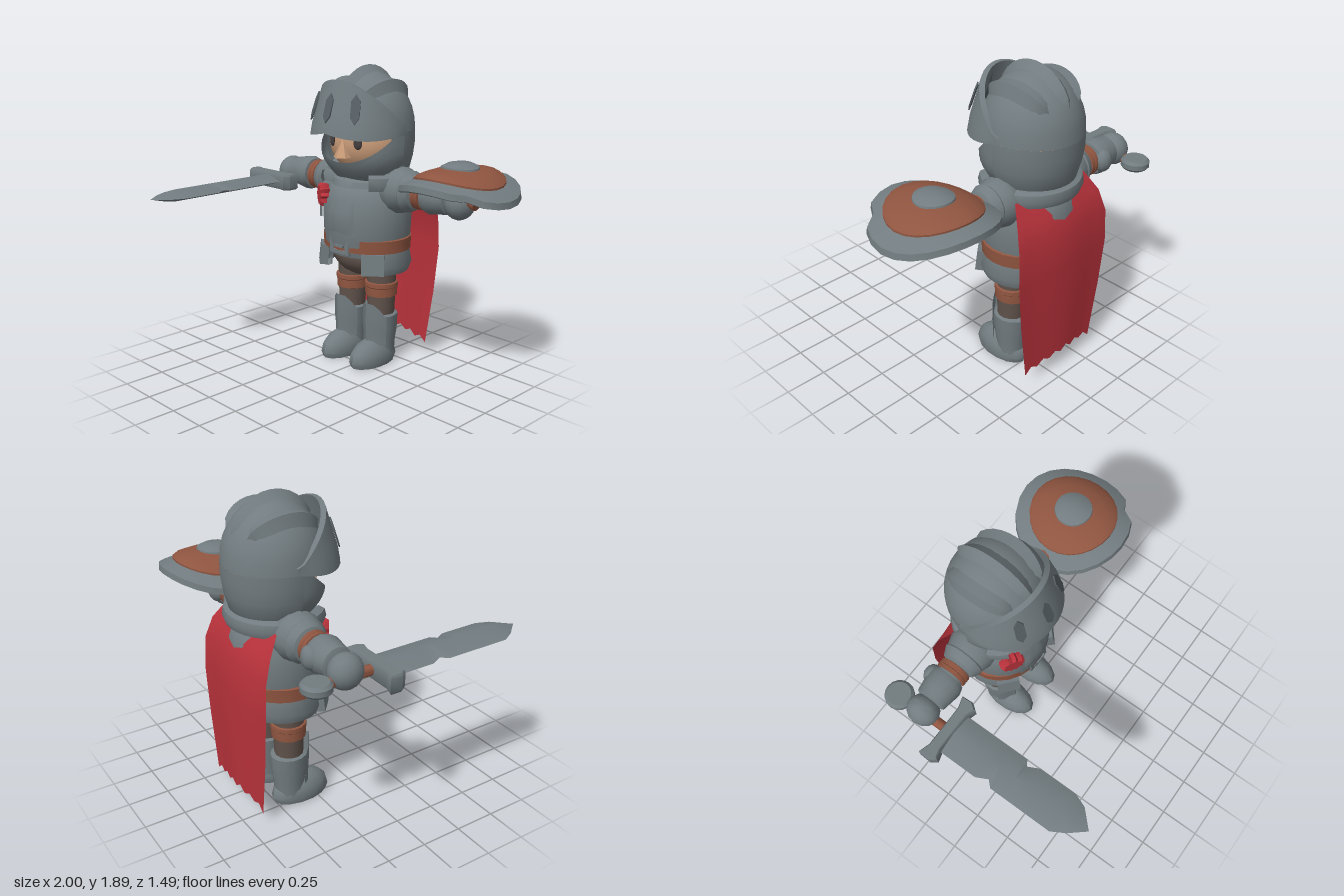
import * as THREE from 'three';
import { toCreasedNormals } from 'three/addons/utils/BufferGeometryUtils.js';

const material = (name, color, side = THREE.DoubleSide) => {
  const m = new THREE.MeshStandardMaterial({ color, side });
  m.name = name;
  return m;
};
const V = (x, y) => new THREE.Vector2(x, y);

// Grid surface: fn(u, v) returns [x, y, z]; faces outward when u x v points out
function surf(nu, nv, fn) {
  const g = new THREE.PlaneGeometry(1, 1, nu, nv);
  const p = g.attributes.position, uv = g.attributes.uv;
  for (let i = 0; i < p.count; i++) p.setXYZ(i, ...fn(uv.getX(i), uv.getY(i)));
  return g;
}
const lathe = (pts, seg = 24, start = 0, len = Math.PI * 2) =>
  new THREE.LatheGeometry(pts.map(([r, y]) => V(r, y)), seg, start, len);
const ball = (x, y, z, seg = 16) => new THREE.SphereGeometry(1, seg, 12).scale(x, y, z);
const box = (x, y, z) => new THREE.BoxGeometry(x, y, z);

export function createModel() {
  const steel = material('steel', 0x727c80);
  const darkSteel = material('dark steel', 0x565f64);
  const leather = material('leather', 0x8f5540);
  const cloth = material('dark cloth', 0x60524b);
  const skin = material('skin', 0xc99b78);
  const red = material('red cloth', 0xb8323b);
  const dark = material('eye', 0x453e3f);
  const hair = material('eyebrow', 0x7a5a48);

  const model = new THREE.Group();
  const body = new THREE.Group();
  body.name = 'knight';
  body.position.set(-0.075, 0, -0.4);
  model.add(body);
  const add = (name, geo, mat, x = 0, y = 0, z = 0, ry = 0, rx = 0) => {
    const m = new THREE.Mesh(toCreasedNormals(geo, 0.7), mat);
    m.name = name;
    m.position.set(x, y, z);
    m.rotation.set(rx, ry, 0, 'YXZ');
    body.add(m);
    return m;
  };

  // Torso, belt and skirt plates
  add('cuirass', lathe([[0, 0.7], [0.26, 0.72], [0.283, 0.8], [0.29, 0.95], [0.28, 1.07],
    [0.24, 1.15], [0.16, 1.2], [0, 1.2]]).scale(1, 1, 0.93), steel);
  add('breastPlate', surf(8, 3, (u, v) => {
    const a = (u - 0.5) * 0.86, y = 0.88 + v * 0.2 - (1 - v) * Math.abs(a) * 0.05;
    const edge = u === 0 || u === 1 || v === 0 || v === 1;
    const r = 0.29 - Math.max(0, y - 0.95) * 0.09 + (edge ? -0.004 : 0.01) + (u === 0.5 ? 0.008 : 0);
    return [Math.sin(a) * r, y, Math.cos(a) * r * 0.93];
  }), steel);
  add('collar', lathe([[0.2, 1.14], [0.29, 1.15], [0.305, 1.19], [0.295, 1.23], [0.26, 1.245], [0.2, 1.22]],
    24, 0.75, Math.PI * 2 - 1.5).scale(1, 1, 0.95), steel);
  add('gorget', lathe([[0.24, 1.13], [0.22, 1.19], [0.17, 1.22]]).scale(1, 1, 0.95), steel);
  add('belt', lathe([[0.27, 0.75], [0.294, 0.755], [0.298, 0.835], [0.27, 0.845]]).scale(1, 1, 0.87), leather);
  add('skirtPlates', lathe([[0.25, 0.625], [0.285, 0.615], [0.305, 0.67], [0.285, 0.77], [0.24, 0.77], [0.25, 0.625]],
    20, 0.58, Math.PI * 2 - 1.16).scale(1, 1, 0.85), steel);
  for (const s of [-1, 1])
    add('skirtFlap', box(0.14, 0.13, 0.05), steel, s * 0.215, 0.69, 0.175, s * 0.72, -0.1);
  add('trousers', ball(0.24, 0.15, 0.2), cloth, 0, 0.705, 0);

  // Buckle with an open frame
  const frame = new THREE.Shape([V(-0.077, -0.055), V(0.077, -0.055), V(0.077, 0.055), V(-0.077, 0.055)]);
  frame.holes.push(new THREE.Path([V(-0.05, -0.03), V(-0.05, 0.03), V(0.05, 0.03), V(0.05, -0.03)]));
  add('buckle', new THREE.ExtrudeGeometry(frame, { depth: 0.025, bevelEnabled: true, bevelThickness: 0.006,
    bevelSize: 0.004, bevelSegments: 1 }), steel, 0, 0.79, 0.225);
  add('bucklePin', box(0.07, 0.016, 0.03), steel, 0.01, 0.79, 0.255);

  // Rosette with ribbon tails
  const star = new THREE.Shape(Array.from({ length: 20 }, (_, i) => {
    const r = i % 2 ? 0.05 : 0.066, a = i * Math.PI / 10;
    return V(Math.cos(a) * r, Math.sin(a) * r);
  }));
  add('rosette', new THREE.ExtrudeGeometry(star, { depth: 0.03, bevelEnabled: true, bevelThickness: 0.015,
    bevelSize: 0.006, bevelSegments: 1 }), red, -0.178, 1.08, 0.195, -0.55);
  for (const s of [-1, 1])
    add('rosetteRibbon', box(0.022, 0.1, 0.012), steel, -0.178 + s * 0.016, 0.99, 0.222, -0.55);

  // Legs and boots
  for (const s of [-1, 1]) {
    const x = s * 0.128;
    add('leg', new THREE.CylinderGeometry(0.098, 0.085, 0.4, 14), cloth, x, 0.49, 0);
    add('kneeStrap', lathe([[0.09, 0.445], [0.102, 0.45], [0.103, 0.505], [0.108, 0.51], [0.106, 0.535], [0.09, 0.54]], 14),
      leather, x);
    add('bootShaft', lathe([[0.085, 0.05], [0.09, 0.15], [0.1, 0.22], [0.103, 0.32], [0.085, 0.33], [0, 0.32]], 14)
      .scale(1, 1, 1.1), steel, x);
    add('foot', surf(14, 8, (u, v) => {
      const a = u * Math.PI * 2, b = (v - 0.5) * Math.PI;
      return [Math.sin(a) * Math.cos(b) * 0.102, Math.max(0, 0.035 + Math.sin(b) * 0.135),
        0.072 + Math.cos(a) * Math.cos(b) * 0.19];
    }), steel, x);
    add('shinGuard', surf(6, 4, (u, v) => {
      const a = (u - 0.5) * 2.2, k = Math.abs(u - 0.5) * 2;
      const r = 0.112 + (u === 0.5 ? 0.018 : 0) - (v < 0.3 ? 0.006 : 0);
      return [Math.sin(a) * r, 0.13 + v * (0.285 - 0.1 * k * k), Math.cos(a) * r * 1.08];
    }), steel, x);
  }

  // Arms, held straight out sideways
  for (const s of [-1, 1]) {
    const limb = (name, pts, mat) =>
      add(name, lathe(pts, 16).rotateZ(-s * Math.PI / 2), mat, 0, 1.145, -0.01);
    limb('pauldron', [[0.1, 0.17], [0.14, 0.22], [0.145, 0.28], [0.125, 0.34], [0.13, 0.35], [0.105, 0.4], [0.08, 0.41]], steel);
    limb('upperArm', [[0.082, 0.36], [0.082, 0.52]], steel);
    limb('armStrap', [[0.08, 0.415], [0.096, 0.42], [0.096, 0.445], [0.09, 0.448], [0.096, 0.452], [0.096, 0.472], [0.08, 0.475]],
      leather);
    limb('gauntlet', [[0.07, 0.485], [0.1, 0.49], [0.112, 0.53], [0.1, 0.6], [0.092, 0.65], [0.07, 0.66], [0, 0.66]], steel);
    add('elbowGuard', ball(0.06, 0.07, 0.05, 10), steel, s * 0.525, 1.15, -0.095);
    add('hand', ball(0.088, 0.1, 0.1, 14), steel, s * 0.72, 1.135, -0.01);
  }

  // Sword pointing forward in the right hand
  const sx = -0.725, sy = 1.1;
  add('swordGrip', new THREE.CylinderGeometry(0.03, 0.03, 0.4, 10).rotateX(Math.PI / 2), leather, sx, sy, 0);
  add('pommel', lathe([[0, -0.032], [0.07, -0.032], [0.086, -0.015], [0.086, 0.015], [0.07, 0.032], [0, 0.032]], 16),
    steel, sx, sy, -0.185);
  const guard = new THREE.Shape([V(-0.19, 0.13), V(-0.13, 0.15), V(0.13, 0.15), V(0.19, 0.13),
    V(0.192, 0.19), V(0.17, 0.22), V(0.12, 0.205), V(-0.12, 0.205), V(-0.17, 0.22), V(-0.192, 0.19)]);
  add('crossGuard', new THREE.ExtrudeGeometry(guard, { depth: 0.08, bevelEnabled: true, bevelThickness: 0.013,
    bevelSize: 0.008, bevelSegments: 1 }).rotateX(Math.PI / 2), steel, sx, sy + 0.04, 0);
  const cuts = [[0.2, -0.125, 0.125], [0.453, -0.125, 0.125], [0.523, -0.09, 0.125], [0.56, -0.125, 0.125],
    [0.63, -0.125, 0.125], [0.65, -0.125, 0.09], [0.72, -0.125, 0.125], [0.96, -0.125, 0.125],
    [1.04, -0.08, 0.095], [1.135, 0, 0]];
  add('blade', surf(4, 9, (u, v) => {
    const i = Math.round(v * 9), k = Math.round(u * 4), [z, l, r] = cuts[i];
    const t = i === 9 ? 0 : i === 8 ? 0.025 : 0.038;
    return [[l, 0, r, 0, l][k], [0, -t, 0, t, 0][k], z];
  }), steel, sx, sy, 0);

  // Round shield lying on the left arm, curved down at its sides
  const bend = (g) => {
    const p = g.attributes.position;
    for (let i = 0; i < p.count; i++) {
      let x = p.getX(i), z = p.getZ(i);
      if (Math.hypot(x, z) > 0.3 && Math.abs(Math.atan2(x, z) - Math.PI / 4) < 0.05) { x *= 0.9; z *= 0.9; }
      p.setXYZ(i, x, p.getY(i) - 0.7 * x * x, z);
    }
    return g;
  };
  const shield = (name, pts, mat) => add(name, bend(lathe(pts, 24)), mat, 0.72, 0, 0);
  shield('shieldPlate', [[0, 1.27], [0.1, 1.27], [0.2, 1.265], [0.33, 1.235], [0.35, 1.245], [0.345, 1.28],
    [0.26, 1.3], [0.12, 1.31], [0, 1.31]], steel);
  shield('shieldRing', [[0.262, 1.285], [0.262, 1.31], [0.24, 1.325], [0.18, 1.336], [0.12, 1.345], [0.06, 1.348], [0, 1.348]], leather);
  shield('shieldBoss', [[0.115, 1.335], [0.11, 1.355], [0.07, 1.372], [0, 1.376]], steel);
  add('shieldGrip', new THREE.CylinderGeometry(0.045, 0.045, 0.2, 10).rotateZ(1.25), leather, 0.75, 1.18, -0.01);

  // Head and face
  add('face', ball(0.25, 0.22, 0.225, 24), skin, 0, 1.42, 0);
  add('nose', new THREE.ConeGeometry(0.058, 0.12, 6), skin, 0, 1.4, 0.222);
  for (const s of [-1, 1]) {
    add('eye', ball(0.028, 0.038, 0.012, 12), dark, s * 0.108, 1.433, 0.204, s * 0.42);
    add('eyebrow', box(0.1, 0.016, 0.02), hair, s * 0.11, 1.487, 0.196, s * 0.42);
  }

  // Helmet: dome, neck wall, chin guard
  const dome = [];
  for (let i = 0; i <= 8; i++) {
    const a = i / 8 * Math.PI / 2;
    dome.push([0.29 * Math.cos(a), 1.5 + 0.35 * Math.sin(a)]);
  }
  add('helmetDome', lathe(dome, 32), steel);
  add('helmetBack', lathe([[0.2, 1.17], [0.25, 1.22], [0.28, 1.34], [0.29, 1.42], [0.29, 1.5]],
    24, 1.25, Math.PI * 2 - 2.5), steel);
  add('chinGuard', surf(24, 6, (u, v) => {
    const a = (u - 0.5) * 3.1, top = 1.31 + 0.17 * Math.min(1, (a / 1.31) ** 2);
    const y = 1.17 + v * (top - 1.17);
    const r = 0.175 + 0.128 * Math.sin(Math.min(1, (y - 1.17) / 0.2) * Math.PI / 2);
    const squash = 0.86 + 0.14 * Math.min(1, Math.abs(a) / 1.5);
    return [Math.sin(a) * r, y, Math.cos(a) * r * squash];
  }), steel);

  // Raised visor with three slots
  add('visor', surf(24, 5, (u, v) => {
    const a = (u - 0.5) * 3.3, c = Math.max(0, Math.cos(a)), w = Math.min(1, v / 0.8);
    const low = 1.5 - 0.035 * Math.sin(Math.min(Math.PI, Math.abs(a) * 2));
    const y = low + (1.54 + 0.27 * c - low) * w;
    const r = 0.302 + (0.077 - 0.1 * Math.max(0, w - 0.1)) * c - (v === 1 ? 0.03 : 0);
    return [Math.sin(a) * r, y, Math.cos(a) * r];
  }), steel);
  const slot = new THREE.Shape([V(0, -0.09), V(0.028, -0.05), V(0.028, 0.05), V(0, 0.09), V(-0.028, 0.05), V(-0.028, -0.05)]);
  for (const a of [-0.53, 0, 0.53]) {
    const r = a ? 0.333 : 0.341;
    add('visorSlot', new THREE.ExtrudeGeometry(slot, { depth: 0.008, bevelEnabled: false }), darkSteel,
      Math.sin(a) * r, 1.645, Math.cos(a) * r, a, -0.3);
  }

  // Three crest ridges over the dome
  for (const [tilt, reach] of [[-0.65, 0.85], [0, 1.05], [0.65, 0.85]]) {
    add('crestRidge', surf(2, 12, (u, v) => {
      const a = (0.5 - v) * 2 * reach, f = Math.sqrt(Math.max(0, 1 - (2 * v - 1) ** 4));
      const k = u === 0.5 ? 0.99 + 0.12 * f : 0.98;
      const w = (u - 0.5) * 0.36 * f, h = Math.cos(a) * k;
      return [0.29 * (w * Math.cos(tilt) + h * Math.sin(tilt)),
        1.5 + 0.35 * (h * Math.cos(tilt) - w * Math.sin(tilt)), 0.29 * Math.sin(a) * k];
    }), steel);
  }

  // Cape with a ragged hem
  const path = [[0.1, -0.28, 0.28], [0.45, -0.285, 0.335], [0.75, -0.288, 0.365], [0.95, -0.278, 0.36],
    [1.08, -0.235, 0.335], [1.19, -0.16, 0.28]];
  const hem = [-0.02, 0.02, 0, 0.035, 0.015, 0.045, 0.02, 0.05, 0.015, 0.04, 0.01, 0.025, -0.02];
  add('cape', surf(12, 5, (u, v) => {
    const [y, z, w] = path[Math.round(v * 5)];
    return [(0.5 - u) * 2 * w, y + (v === 0 ? hem[Math.round(u * 12)] : 0),
      z - 0.012 * Math.cos((u - 0.5) * Math.PI * 2)];
  }), red);

  return model;
}
